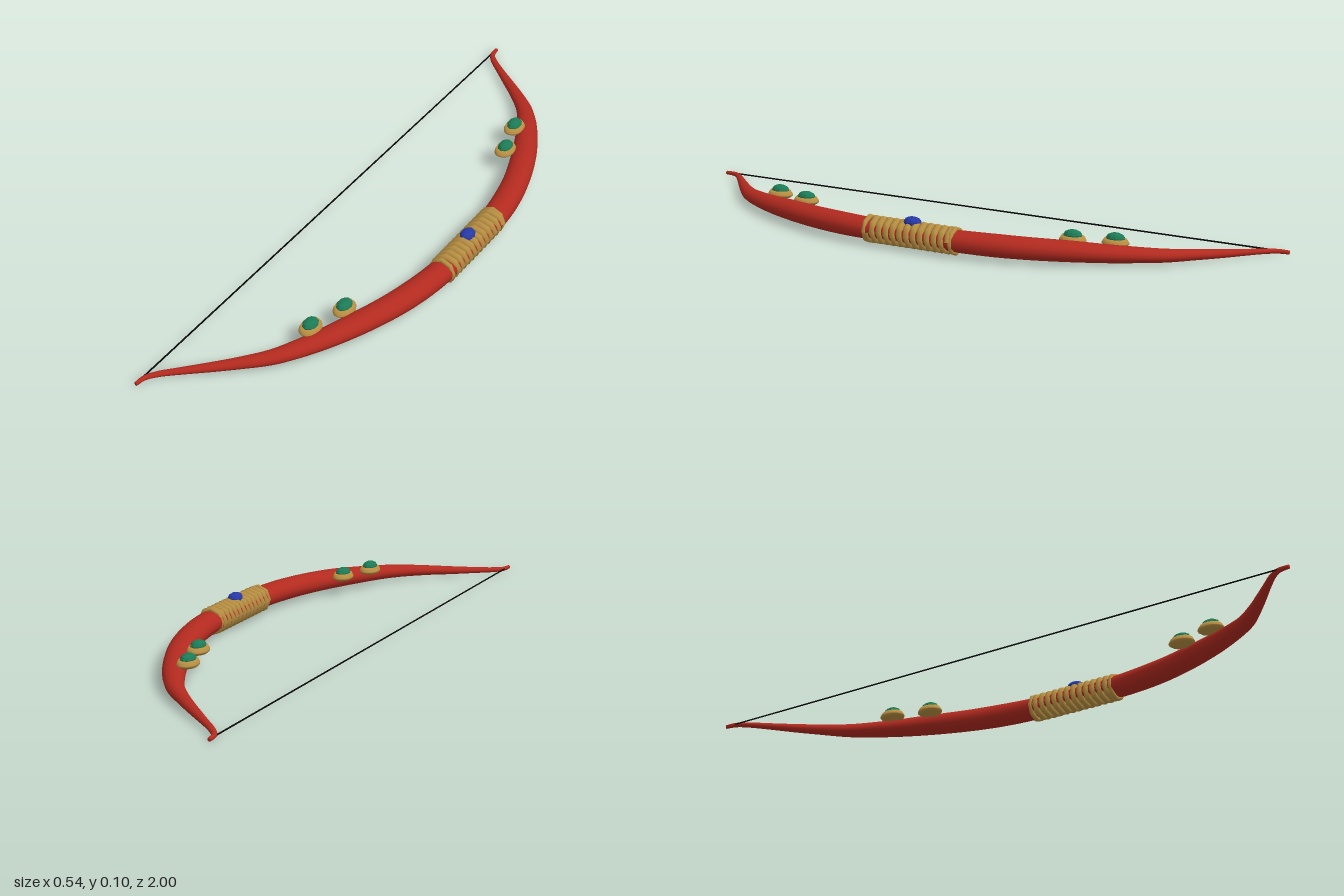
import * as THREE from 'three';

const mat = (name, color, flatShading = false) => {
  const m = new THREE.MeshStandardMaterial({ color, flatShading });
  m.name = name;
  return m;
};

// Half of the stave, grip to tip: [z, x, y, half width, half height]
const HALF = [
  [0.08, 0.223, 0.045, 0.0405, 0.031], [0.16, 0.222, 0.045, 0.041, 0.033], [0.27, 0.206, 0.044, 0.042, 0.034],
  [0.37, 0.18, 0.042, 0.0415, 0.033], [0.48, 0.139, 0.039, 0.04, 0.031], [0.58, 0.092, 0.034, 0.036, 0.027],
  [0.66, 0.047, 0.03, 0.031, 0.023], [0.72, 0.004, 0.026, 0.026, 0.02], [0.785, -0.063, 0.021, 0.02, 0.016],
  [0.838, -0.125, 0.016, 0.016, 0.013], [0.89, -0.187, 0.012, 0.012, 0.01], [0.934, -0.237, 0.009, 0.01, 0.008],
  [0.965, -0.26, 0.0075, 0.008, 0.007], [0.998, -0.265, 0.007, 0.006, 0.006]
];

// Sweeps an oval along the curved path, closing at both tips
function staveGeometry(steps = 112, sides = 14) {
  const rows = [...HALF.map(([z, ...r]) => [-z, ...r]).reverse(), [0, 0.223, 0.045, 0.0405, 0.031], ...HALF];
  const path = new THREE.CatmullRomCurve3(rows.map(([z, x, y]) => new THREE.Vector3(x, y, z)));
  const sizes = new THREE.CatmullRomCurve3(rows.map((r, i) => new THREE.Vector3(i, r[3], r[4])));
  const up = new THREE.Vector3(0, 1, 0);
  const pos = [], index = [];
  for (let i = -1; i <= steps + 1; i++) {
    const t = THREE.MathUtils.clamp(i / steps, 0, 1);
    const p = path.getPoint(t), tangent = path.getTangent(t);
    const out = new THREE.Vector3().crossVectors(up, tangent).normalize();
    const size = sizes.getPoint(t).multiplyScalar(i < 0 || i > steps ? 0 : 1);
    for (let j = 0; j < sides; j++) {
      const a = (j / sides) * Math.PI * 2;
      const v = p.clone().addScaledVector(out, Math.cos(a) * size.y).addScaledVector(up, Math.sin(a) * size.z);
      pos.push(v.x, v.y, v.z);
    }
  }
  for (let i = 0; i < steps + 2; i++) {
    for (let j = 0; j < sides; j++) {
      const k = (j + 1) % sides;
      const a = i * sides + j, b = i * sides + k, c = a + sides, d = b + sides;
      index.push(a, b, c, b, d, c);
    }
  }
  const g = new THREE.BufferGeometry();
  g.setAttribute('position', new THREE.Float32BufferAttribute(pos, 3));
  g.setIndex(index);
  g.computeVertexNormals();
  return g;
}

const lathe = (points, sides) =>
  new THREE.LatheGeometry(points.map(([x, y]) => new THREE.Vector2(x, y)), sides);

export function createModel() {
  const red = mat('red lacquer', 0xb32a1f);
  const gold = mat('gold', 0xb88f42);
  const green = mat('green gem', 0x1d7b56, true);
  const blue = mat('blue gem', 0x2639a6, true);
  const black = mat('black string', 0x060606);

  const bow = new THREE.Group();
  bow.name = 'bow';
  const add = (name, geometry, material, x = 0, y = 0, z = 0, parent = bow) => {
    const m = new THREE.Mesh(geometry, material);
    m.name = name;
    m.position.set(x, y, z);
    parent.add(m);
    return m;
  };

  add('stave', staveGeometry(), red);

  // String between the two tips
  const string = add('string', new THREE.CylinderGeometry(0.0025, 0.0025, 1.93, 6), black, -0.265, 0.008, 0);
  string.rotation.x = Math.PI / 2;

  // Grip: a thick eight-sided wound cord with a ring at each end
  const turns = 12, coil = [];
  for (let i = 0; i <= turns * 8; i++) {
    const a = (i / 8) * Math.PI * 2;
    coil.push(new THREE.Vector3(Math.cos(a) * 0.035, Math.sin(a) * 0.033, -0.14 + (0.28 * i) / (turns * 8)));
  }
  const cord = new THREE.TubeGeometry(new THREE.CatmullRomCurve3(coil), turns * 8, 0.0118, 8);
  add('gripCord', cord, gold, 0.223, 0.045, 0);
  for (const s of [-1, 1]) {
    add('gripEndRing', new THREE.TorusGeometry(0.037, 0.008, 8, 8), gold, 0.223, 0.045, s * 0.146);
  }

  // Oval faceted gems; the limb gems sit on flared gold mounts
  const mount = lathe([[0, -0.012], [0.025, -0.012], [0.031, -0.006], [0.031, -0.002], [0.026, 0.009], [0, 0.009]], 16);
  const gem = lathe([[0, -0.004], [0.021, -0.004], [0.022, 0.004], [0.018, 0.012], [0.01, 0.017], [0, 0.018]], 10);
  for (const s of [-1, 1]) {
    for (const [x, y, z] of [[0.047, 0.06, 0.58], [0.084, 0.062, 0.46]]) {
      const jewel = new THREE.Group();
      jewel.name = 'limbJewel';
      jewel.position.set(x, y, s * z);
      jewel.scale.z = 1.35;
      add('jewelMount', mount, gold, 0, 0, 0, jewel);
      add('greenGem', gem, green, 0, 0.008, 0, jewel);
      bow.add(jewel);
    }
  }
  add('gripGem', gem, blue, 0.222, 0.081, 0).scale.z = 1.3;

  return bow;
}
